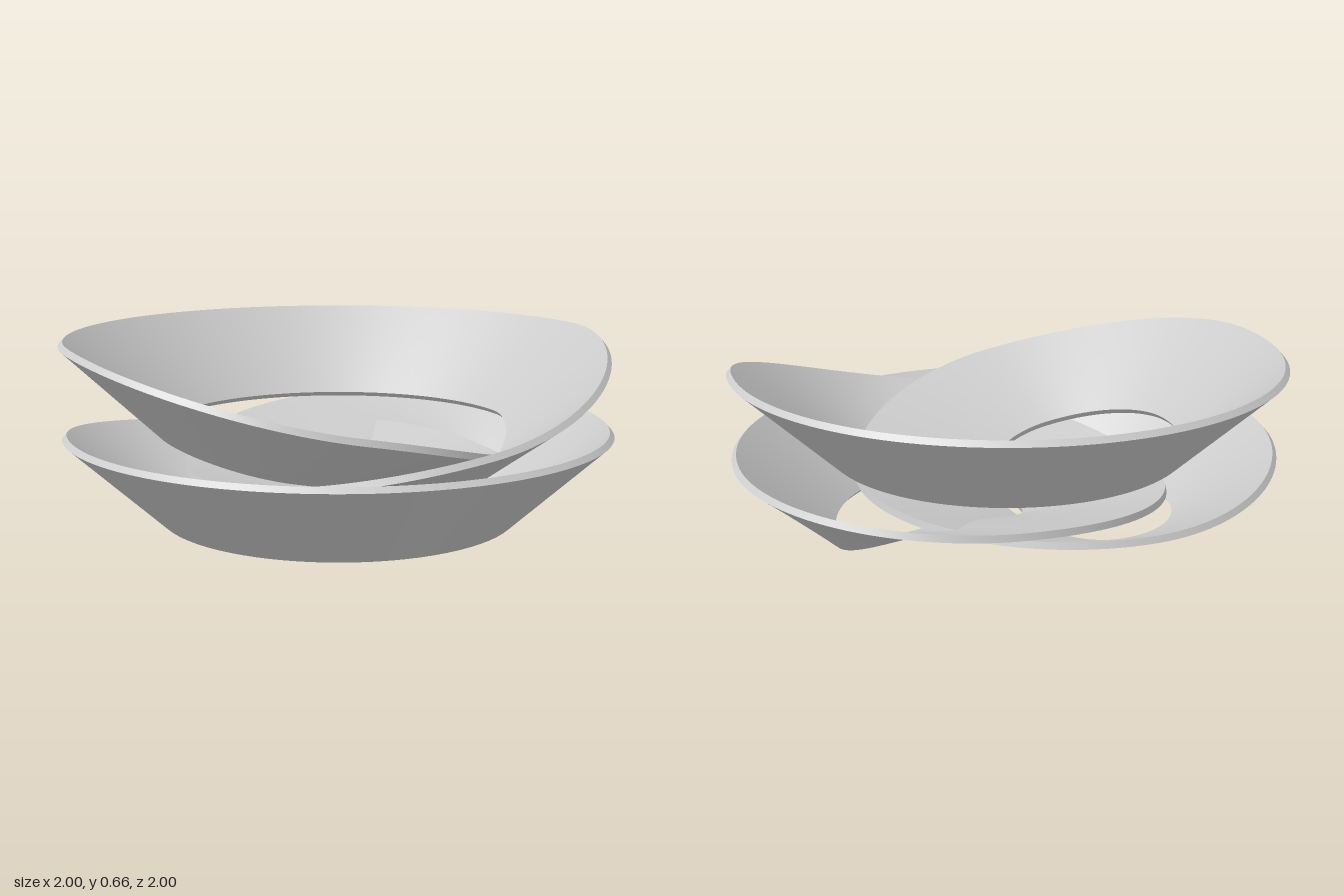
import * as THREE from 'three';

// Each half-turn of the closed band: centre x, half-width in x, half-depth in z
// Order: upper back arc, front sweep, back sweep, lower front arc, back sweep, front sweep
const OUTER = [[0, 1, 1], [-0.22, 0.78, 0.83], [-0.22, 0.78, 0.81], [0, 1, 1], [0.22, 0.78, 0.8], [0.22, 0.78, 0.83]];
const INNER = [[0, 0.66, 0.655], [-0.305, 0.355, 0.4], [-0.305, 0.355, 0.36], [0, 0.66, 0.665], [0.305, 0.355, 0.28], [0.305, 0.355, 0.39]];

// Edge heights at every quarter turn
const OUTER_Y = [0.645, 0.645, 0.645, 0.43, 0.2, 0.21, 0.32, 0.32, 0.32, 0.28, 0.17, 0.35];
const INNER_Y = [0.32, 0.32, 0.32, 0.22, 0.09, 0.005, 0.005, 0.005, 0.005, 0.125, 0.04, 0.13];

const THICKNESS = 0.024;
const SEGMENTS = 432;
const ROWS = 10;

// Periodic smooth interpolation that never overshoots its keys
function height(keys, t) {
  const n = keys.length;
  const at = (i) => keys[((i % n) + n) % n];
  const slope = (i) => {
    const a = at(i) - at(i - 1);
    const b = at(i + 1) - at(i);
    return a * b <= 0 ? 0 : (2 * a * b) / (a + b);
  };
  const i = Math.floor(t * 2);
  const u = t * 2 - i;
  const u2 = u * u, u3 = u2 * u;
  return at(i) * (2 * u3 - 3 * u2 + 1) + slope(i) * (u3 - 2 * u2 + u)
    + at(i + 1) * (3 * u2 - 2 * u3) + slope(i + 1) * (u3 - u2);
}

function edgePoint(arcs, keys, t) {
  t = ((t % 6) + 6) % 6;
  const [cx, ax, az] = arcs[Math.floor(t)];
  return new THREE.Vector3(cx + ax * Math.cos(Math.PI * t), height(keys, t), -az * Math.sin(Math.PI * t));
}

// Point on the underside; v runs from the outer edge (0) to the inner edge (1)
const skin = (t, v) => edgePoint(OUTER, OUTER_Y, t).lerp(edgePoint(INNER, INNER_Y, t), v);

function skinNormal(t, v) {
  const along = skin(t + 0.004, v).sub(skin(t - 0.004, v));
  const across = skin(t, 1).sub(skin(t, 0));
  const n = along.cross(across).normalize();
  return n.y < 0 ? n.negate() : n;
}

// Closed strip: a grid of points swept round the whole loop
function strip(pointAt, rows) {
  const positions = [];
  const index = [];
  for (let i = 0; i < SEGMENTS; i++) {
    for (let j = 0; j <= rows; j++) {
      positions.push(...pointAt((6 * i) / SEGMENTS, j / rows).toArray());
    }
  }
  const w = rows + 1;
  for (let i = 0; i < SEGMENTS; i++) {
    for (let j = 0; j < rows; j++) {
      const a = i * w + j;
      const b = ((i + 1) % SEGMENTS) * w + j;
      index.push(a, b, a + 1, b, b + 1, a + 1);
    }
  }
  const geometry = new THREE.BufferGeometry();
  geometry.setAttribute('position', new THREE.Float32BufferAttribute(positions, 3));
  geometry.setIndex(index);
  geometry.computeVertexNormals();
  return geometry;
}

export function createModel() {
  const group = new THREE.Group();
  group.name = 'loopedBand';
  const material = new THREE.MeshStandardMaterial({ color: 0xcccccc, side: THREE.DoubleSide });
  const add = (name, geometry) => {
    const mesh = new THREE.Mesh(geometry, material);
    mesh.name = name;
    group.add(mesh);
  };
  const raised = (t, v, k) => skin(t, v).addScaledVector(skinNormal(t, v), THICKNESS * k);

  // Two broad faces; the strip winding faces up, so the underside is mirrored in v
  add('bandTopFace', strip((t, v) => raised(t, v, 1), ROWS));
  add('bandUnderside', strip((t, v) => raised(t, 1 - v, 0), ROWS));

  // Narrow edges closing the thickness
  add('outerRim', strip((t, v) => raised(t, 0, v), 1));
  add('innerRim', strip((t, v) => raised(t, 1, 1 - v), 1));
  return group;
}
